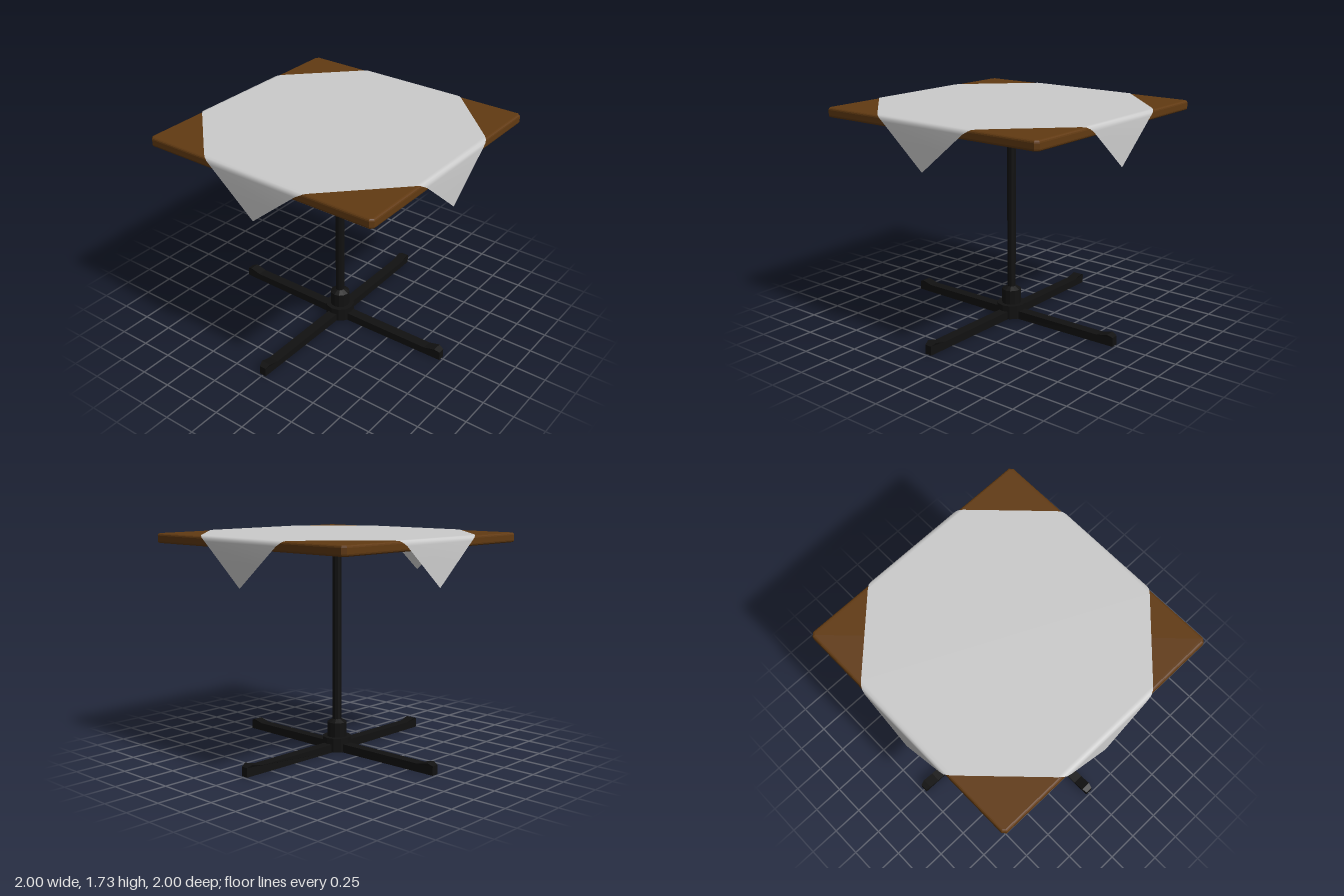
import * as THREE from 'three';

const wood = new THREE.MeshStandardMaterial({ color: 0x613a12 });
const metal = new THREE.MeshStandardMaterial({ color: 0x111111, flatShading: true });
const linen = new THREE.MeshStandardMaterial({ color: 0xcccccc, side: THREE.DoubleSide });

function add(parent, name, geometry, material) {
  const mesh = new THREE.Mesh(geometry, material);
  mesh.name = name;
  parent.add(mesh);
  return mesh;
}

function lathe(points, sides) {
  return new THREE.LatheGeometry(points.map(([r, y]) => new THREE.Vector2(r, y)), sides);
}

// Square top with clipped corners and a rounded rim
function tableTopGeometry() {
  const bevel = 0.018, s = 0.982 - bevel, c = 0.015;
  const shape = new THREE.Shape([
    [s, -s + c], [s, s - c], [s - c, s], [-s + c, s],
    [-s, s - c], [-s, -s + c], [-s + c, -s], [s - c, -s],
  ].map(([x, y]) => new THREE.Vector2(x, y)));
  const geo = new THREE.ExtrudeGeometry(shape, {
    depth: 0.075 - 2 * bevel, bevelThickness: bevel, bevelSize: bevel, bevelSegments: 3,
  });
  return geo.rotateX(-Math.PI / 2).translate(0, 1.65 + bevel, 0);
}

// Square cloth laid diagonally: flat octagon, four corners folded over the edges
function clothGeometry() {
  // rows of each flap: distance from centre, height, half width
  const rows = [[0.955, 1.73, 0.465], [0.98, 1.726, 0.435], [0.993, 1.712, 0.41],
    [0.998, 1.69, 0.375], [0.998, 1.535, 0.19], [0.998, 1.375, 0]];
  const pos = [0, 1.73, 0], index = [];
  const per = rows.length * 2;
  for (let k = 0; k < 4; k++) {
    const cos = Math.round(Math.cos(k * Math.PI / 2)), sin = Math.round(Math.sin(k * Math.PI / 2));
    const start = 1 + k * per, next = 1 + ((k + 1) % 4) * per;
    for (const [d, y, h] of rows) {
      for (const x of [-h, h]) pos.push(x * cos + d * sin, y, d * cos - x * sin);
    }
    index.push(0, start, start + 1, 0, start + 1, next);
    for (let i = 0; i < rows.length - 1; i++) {
      const a = start + i * 2;
      index.push(a, a + 2, a + 3);
      index.push(a, a + 3, a + 1);
    }
  }
  const geo = new THREE.BufferGeometry();
  geo.setAttribute('position', new THREE.Float32BufferAttribute(pos, 3));
  geo.setIndex(index);
  geo.computeVertexNormals();
  return geo;
}

// Floor leg: side profile with a raised toe, extruded across its width
function legGeometry() {
  const shape = new THREE.Shape([
    [0, 0], [0.982, 0], [0.982, 0.072], [0.94, 0.09], [0.85, 0.067], [0, 0.067],
  ].map(([x, y]) => new THREE.Vector2(x, y)));
  const width = 0.08;
  const geo = new THREE.ExtrudeGeometry(shape, { depth: width, bevelEnabled: false });
  geo.translate(0, 0, -width / 2);
  // narrow the very end so the toe has clipped corners
  const p = geo.attributes.position;
  for (let i = 0; i < p.count; i++) if (p.getX(i) > 0.96) p.setZ(i, p.getZ(i) * 0.7);
  return geo;
}

export function createModel() {
  const group = new THREE.Group();
  group.name = 'table';

  add(group, 'tableTop', tableTopGeometry(), wood);
  add(group, 'tablecloth', clothGeometry(), linen);

  // Pedestal
  add(group, 'mountingPlate', lathe([[0, 1.615], [0.22, 1.615], [0.245, 1.63], [0.245, 1.652]], 10), metal);
  add(group, 'post', new THREE.CylinderGeometry(0.035, 0.035, 1.5, 10).translate(0, 0.88, 0), metal);
  add(group, 'hub', lathe([
    [0, 0.005], [0.115, 0.005], [0.115, 0.115], [0.077, 0.115], [0.077, 0.23], [0.035, 0.255],
  ], 12), metal);

  // Four-legged cross base
  const base = new THREE.Group();
  base.name = 'crossBase';
  const leg = legGeometry();
  for (let k = 0; k < 4; k++) add(base, 'leg', leg, metal).rotation.y = k * Math.PI / 2;
  group.add(base);

  return group;
}
